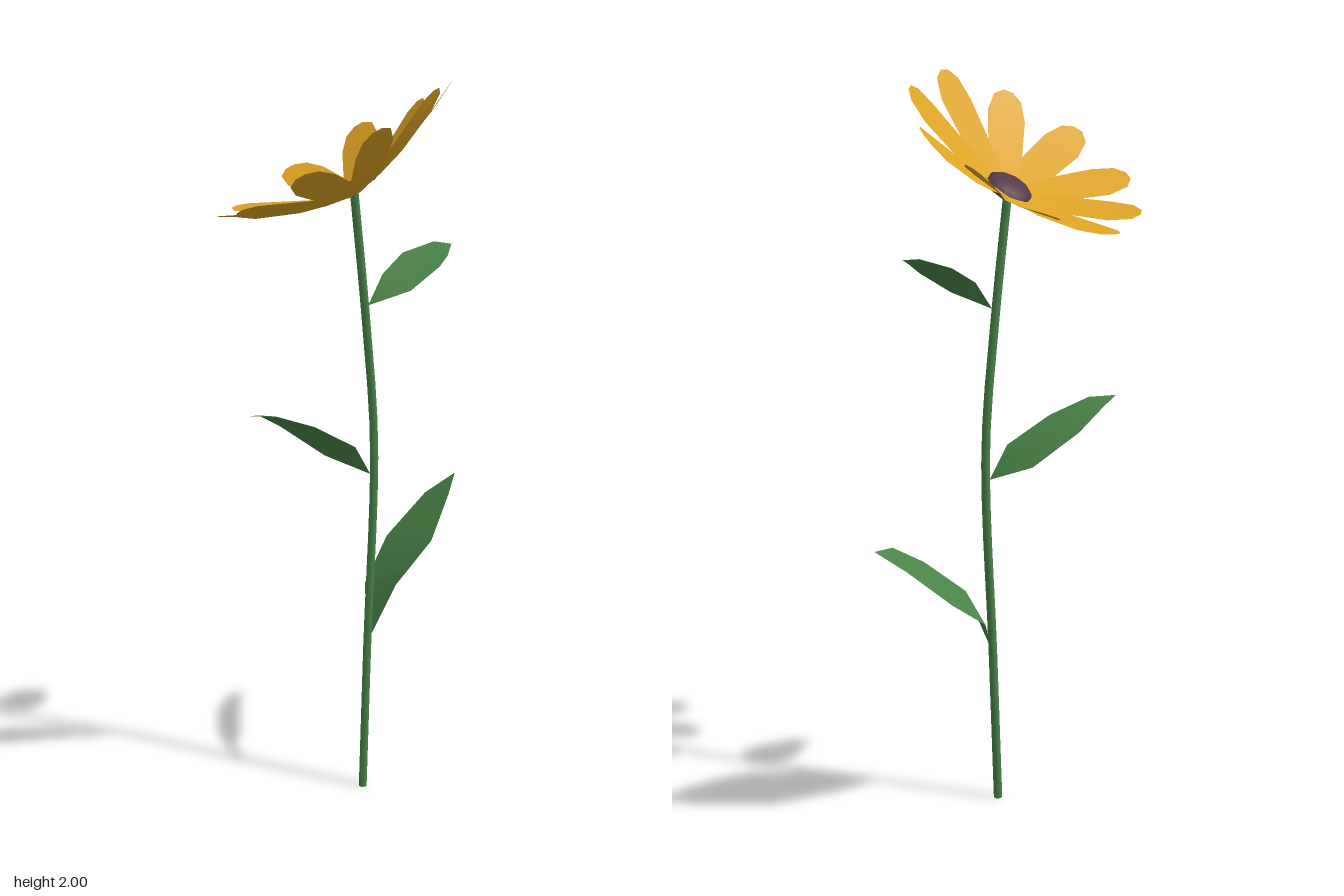
import * as THREE from 'three';

const V = (x, y, z) => new THREE.Vector3(x, y, z);

const green = new THREE.MeshStandardMaterial({ color: 0x4a8548, side: THREE.DoubleSide });
green.name = 'leaf green';
const yellow = new THREE.MeshStandardMaterial({ color: 0xdea425, side: THREE.DoubleSide });
yellow.name = 'petal yellow';
const purple = new THREE.MeshStandardMaterial({ color: 0x543846 });
purple.name = 'centre purple';

// Smooth ribbon surface through rows of [left, right] edge points
function ribbon(rows) {
  const pos = [], index = [];
  rows.forEach(([l, r], i) => {
    pos.push(l.x, l.y, l.z, r.x, r.y, r.z);
    if (i === 0) return;
    const a = 2 * i - 2;
    index.push(a, a + 1, a + 2, a + 1, a + 3, a + 2);
  });
  const g = new THREE.BufferGeometry();
  g.setAttribute('position', new THREE.Float32BufferAttribute(pos, 3));
  g.setIndex(index);
  g.computeVertexNormals();
  return g;
}

export function createModel() {
  const flower = new THREE.Group();
  flower.name = 'flower';
  const add = (name, geometry, material) => {
    const mesh = new THREE.Mesh(geometry, material);
    mesh.name = name;
    flower.add(mesh);
    return mesh;
  };

  // Gently bent stem
  const path = new THREE.CatmullRomCurve3([
    V(-0.02, 0, 0.06), V(-0.004, 0.43, 0.063), V(0.015, 1.0, 0.07),
    V(-0.012, 1.36, 0.061), V(-0.05, 1.71, 0.05),
  ]);
  add('stem', new THREE.TubeGeometry(path, 16, 0.012, 6), green);

  // Leaves: base, three cross-sections and a pointed tip
  const leaf = (name, base, sections, tip) => add(name, ribbon([
    [V(...base), V(...base)],
    ...sections.map(([l, r]) => [V(...l), V(...r)]),
    [V(...tip), V(...tip)],
  ]), green);
  leaf('lowerLeaf', [0, 0.43, 0.06], [
    [[0.04, 0.6, 0.125], [0.1, 0.55, -0.02]],
    [[0.16, 0.7, 0.16], [0.24, 0.64, -0.045]],
    [[0.31, 0.78, 0.115], [0.355, 0.745, 0.005]],
  ], [0.415, 0.8, 0.065]);
  leaf('middleLeaf', [0.005, 0.92, 0.065], [
    [[-0.05, 1.01, 0.055], [-0.05, 0.965, -0.045]],
    [[-0.155, 1.085, 0], [-0.145, 1.06, -0.125]],
    [[-0.25, 1.13, -0.055], [-0.235, 1.115, -0.125]],
  ], [-0.305, 1.135, -0.105]);
  leaf('upperLeaf', [0, 1.39, 0.06], [
    [[0.05, 1.465, 0.07], [0.065, 1.43, 0.15]],
    [[0.12, 1.51, 0.085], [0.14, 1.485, 0.19]],
    [[0.185, 1.535, 0.14], [0.17, 1.51, 0.195]],
  ], [0.208, 1.53, 0.18]);

  // Petals fan out from the tilted flower head
  const centre = V(-0.05, 1.697, 0.055);
  const axis = V(-0.11, 1, -0.63).normalize();
  const tips = [
    [-0.10, 1.622, -0.302], [0.115, 1.69, -0.28], [0.242, 1.8, -0.145],
    [0.266, 1.885, 0.035], [0.15, 1.975, 0.212], [-0.05, 2.0, 0.3],
    [-0.255, 1.93, 0.268], [-0.4, 1.825, 0.142], [-0.415, 1.715, -0.035],
    [-0.285, 1.648, -0.21],
  ];
  // Pairs of distance along the petal and half width
  const outline = [[0, 0.02], [0.2, 0.037], [0.42, 0.05], [0.78, 0.056], [0.94, 0.041], [1, 0.014]];
  tips.forEach((t, i) => {
    const along = V(...t).sub(centre);
    const across = axis.clone().cross(along).normalize();
    const rows = outline.map(([s, w]) => {
      const p = centre.clone().addScaledVector(along, s)
        .addScaledVector(axis, -0.06 * s * (1 - s));
      return [p.clone().addScaledVector(across, -w), p.clone().addScaledVector(across, w)];
    });
    add('petal' + (i + 1), ribbon(rows), yellow);
  });

  // Low domed centre
  const dome = add('flowerCentre',
    new THREE.SphereGeometry(0.068, 10, 4, 0, Math.PI * 2, 0, Math.PI / 2), purple);
  dome.scale.y = 0.4;
  dome.quaternion.setFromUnitVectors(V(0, 1, 0), axis);
  dome.position.copy(centre).addScaledVector(axis, 0.009);

  return flower;
}
